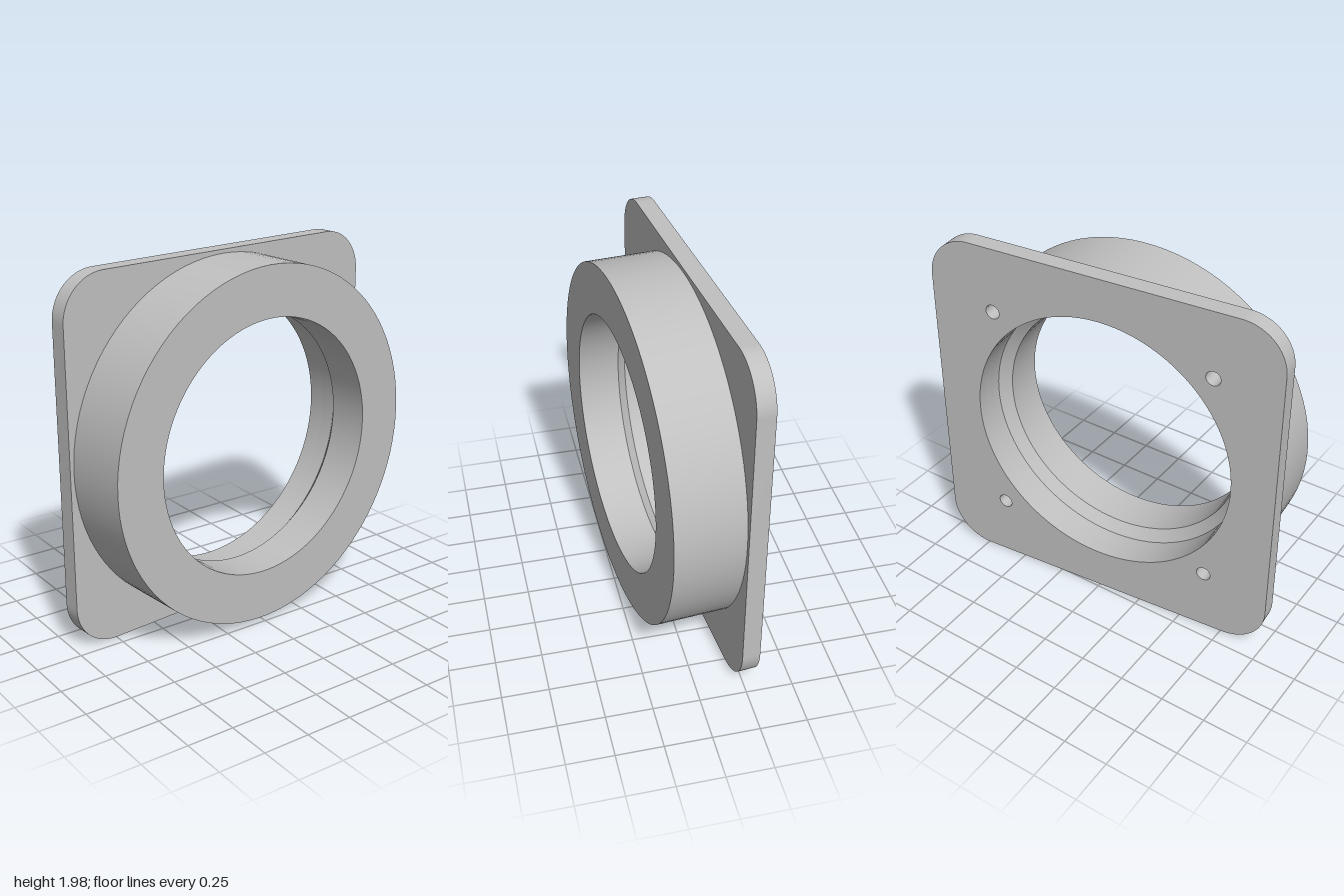
import * as THREE from 'three';
import { toCreasedNormals } from 'three/addons/utils/BufferGeometryUtils.js';

// Dimensions along the ring axis (local z) and across it
const BACK = -0.232, SEAT = -0.135, FRONT = 0.235;
const HALF = 0.99, CORNER = 0.24, OUTER_R = 0.969, BORE_R = 0.695, COUNTERBORE_R = 0.75;
const HOLE_POS = 0.625, HOLE_R = 0.04, HOLE_DEPTH = 0.16;
const TILT = THREE.MathUtils.degToRad(5.2);

const corners = [[1, 1], [-1, 1], [-1, -1], [1, -1]];

function circle(x, y, r) {
  return new THREE.Path().absarc(x, y, r, 0, Math.PI * 2, true);
}

export function createModel() {
  const model = new THREE.Group();
  model.name = 'flangedRing';
  const grey = new THREE.MeshStandardMaterial({ color: 0xc0c0c0 });
  grey.name = 'light grey';

  const body = new THREE.Group();
  body.name = 'tiltedBody';
  function add(name, geometry) {
    const mesh = new THREE.Mesh(toCreasedNormals(geometry, 0.5), grey);
    mesh.name = name;
    body.add(mesh);
    return mesh;
  }

  // Rounded square mounting plate with the bore and four screw holes
  const outline = new THREE.Shape();
  corners.forEach(([sx, sy], i) => {
    const start = i * Math.PI / 2;
    const inset = HALF - CORNER;
    outline.absarc(sx * inset, sy * inset, CORNER, start, start + Math.PI / 2, false);
  });
  outline.closePath();
  outline.holes.push(circle(0, 0, COUNTERBORE_R));
  for (const [sx, sy] of corners) {
    outline.holes.push(circle(sx * HOLE_POS, sy * HOLE_POS, HOLE_R));
  }
  const plate = new THREE.ExtrudeGeometry(outline, {
    depth: SEAT - BACK, bevelEnabled: false, curveSegments: 48,
  });
  plate.translate(0, 0, BACK);
  add('mountingPlate', plate);

  // Ring: outer wall, front face, bore, chamfer and counterbore
  const profile = [
    [OUTER_R, SEAT], [OUTER_R, FRONT], [BORE_R, FRONT],
    [BORE_R, 0.005], [COUNTERBORE_R, -0.05], [COUNTERBORE_R, SEAT],
  ].map(([r, y]) => new THREE.Vector2(r, y));
  const ring = new THREE.LatheGeometry(profile, 96);
  ring.rotateX(Math.PI / 2);
  add('ring', ring);

  // Blind ends of the screw holes, seen from inside
  const wall = [[0, BACK + HOLE_DEPTH], [HOLE_R, BACK + HOLE_DEPTH], [HOLE_R, SEAT]]
    .map(([r, y]) => new THREE.Vector2(r, y));
  for (const [sx, sy] of corners) {
    const hole = new THREE.LatheGeometry(wall, 24);
    hole.rotateX(Math.PI / 2);
    hole.translate(sx * HOLE_POS, sy * HOLE_POS, 0);
    add('screwHole', hole);
  }

  // Stand the part up, ring axis turned slightly away from +x
  body.rotation.y = Math.PI / 2 + TILT;
  body.position.set(0, HALF, -0.0104);
  model.add(body);
  return model;
}
